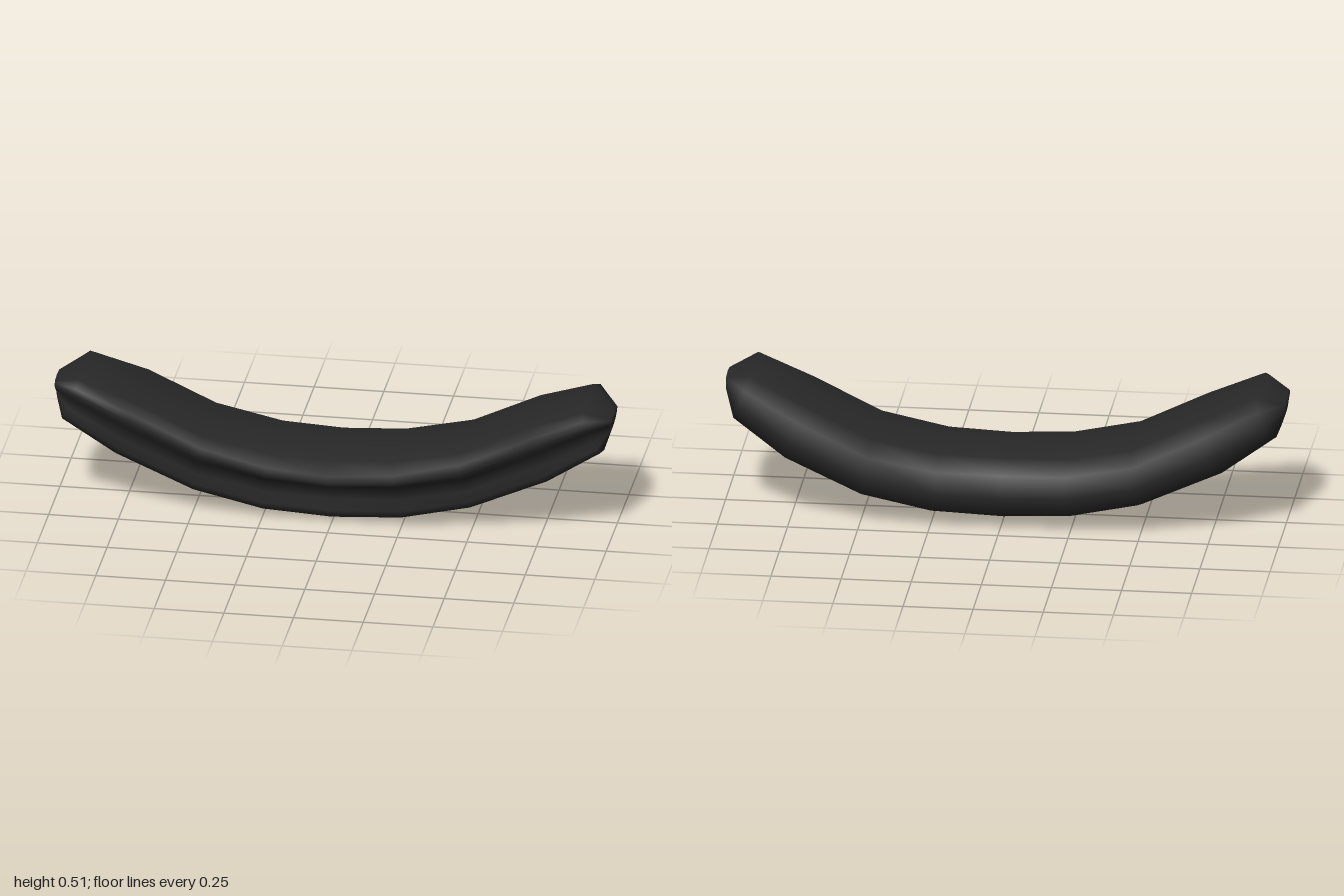
import * as THREE from 'three';

// Cross-sections as [z, t], t running 0 at the underside to 1 at the top:
// bottom, up the grooved front, over the top, down the back.
const MIDDLE = [[0.08, 0], [0.147, 0.07], [0.156, 0.18], [0.14, 0.34], [0.155, 0.48], [0.18, 0.6], [0.23, 0.66], [0.248, 0.75],
  [0.23, 0.82], [0.16, 0.95], [0.03, 1], [-0.12, 0.97], [-0.19, 0.8], [-0.215, 0.5], [-0.185, 0.2], [-0.08, 0.04]];
const OUTER = [[0.08, 0], [0.155, 0.08], [0.175, 0.2], [0.165, 0.35], [0.175, 0.48], [0.19, 0.58], [0.207, 0.66], [0.214, 0.75],
  [0.205, 0.84], [0.16, 0.95], [0.03, 1], [-0.14, 0.95], [-0.22, 0.78], [-0.25, 0.5], [-0.21, 0.2], [-0.08, 0.03]];

// Stations of one half: top point, bottom point, blend to OUTER, z scale, z shift
const HALF = [
  { top: [0, 0.255], bottom: [0, 0.002], blend: 0, scale: 1, shift: 0 },
  { top: [0.22, 0.265], bottom: [0.25, 0.017], blend: 0.5, scale: 1, shift: 0 },
  { top: [0.46, 0.315], bottom: [0.5, 0.075], blend: 1, scale: 1, shift: 0 },
  { top: [0.7, 0.43], bottom: [0.78, 0.2], blend: 1, scale: 1, shift: 0.008 },
  { top: [0.9, 0.508], bottom: [0.97, 0.33], blend: 1, scale: 0.86, shift: 0.04 },
  { top: [1, 0.465], bottom: [0.99, 0.39], blend: 1, scale: 0.33, shift: 0.06 },
];

function createBody() {
  const mirrored = HALF.slice(1).reverse().map((s) => ({ ...s, top: [-s.top[0], s.top[1]], bottom: [-s.bottom[0], s.bottom[1]] }));
  const stations = [...mirrored, ...HALF];
  const n = MIDDLE.length;
  const lerp = THREE.MathUtils.lerp;
  const positions = [], index = [];

  // Loops along the curve
  for (const s of stations) {
    for (let j = 0; j < n; j++) {
      const z = lerp(MIDDLE[j][0], OUTER[j][0], s.blend) * s.scale + s.shift;
      const t = lerp(MIDDLE[j][1], OUTER[j][1], s.blend);
      positions.push(lerp(s.bottom[0], s.top[0], t), lerp(s.bottom[1], s.top[1], t), z);
    }
  }
  for (let i = 0; i < stations.length - 1; i++) {
    for (let j = 0; j < n; j++) {
      const a = i * n + j, b = i * n + (j + 1) % n;
      index.push(a, a + n, b, b, a + n, b + n);
    }
  }

  // Blunt end caps
  for (const side of [-1, 1]) {
    const start = side < 0 ? 0 : (stations.length - 1) * n;
    const centre = positions.length / 3;
    positions.push(side * 0.998, 0.43, 0.055);
    for (let j = 0; j < n; j++) {
      const a = start + j, b = start + (j + 1) % n;
      index.push(centre, ...(side < 0 ? [a, b] : [b, a]));
    }
  }

  const geometry = new THREE.BufferGeometry();
  geometry.setAttribute('position', new THREE.Float32BufferAttribute(positions, 3));
  geometry.setIndex(index);
  geometry.computeVertexNormals();
  return geometry;
}

export function createModel() {
  const group = new THREE.Group();
  group.name = 'curvedGrip';
  const body = new THREE.Mesh(createBody(), new THREE.MeshStandardMaterial({ color: 0x282828 }));
  body.name = 'groovedBody';
  group.add(body);
  return group;
}
